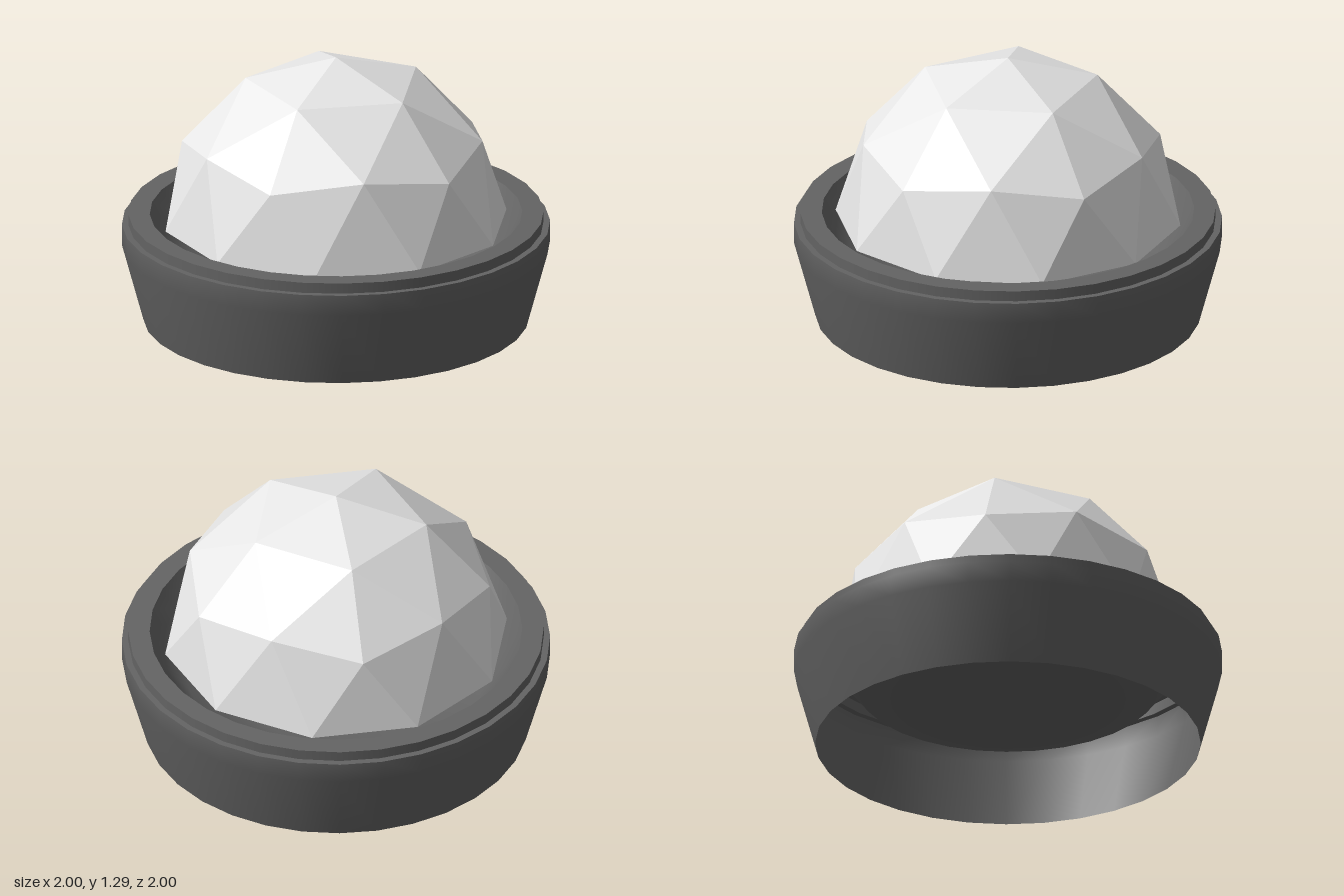
import * as THREE from 'three';

const shellGrey = new THREE.MeshStandardMaterial({ color: 0x646464, side: THREE.DoubleSide });
shellGrey.name = 'dark grey';
const domeWhite = new THREE.MeshStandardMaterial({ color: 0xe8e8e8, side: THREE.DoubleSide, flatShading: true });
domeWhite.name = 'pale grey';

// Surface of revolution through [radius, height] points; separate calls keep edges sharp
function band(name, ...points) {
  const profile = points.map(([r, y]) => new THREE.Vector2(r, y));
  const mesh = new THREE.Mesh(new THREE.LatheGeometry(profile, 32), shellGrey);
  mesh.name = name;
  return mesh;
}

// Upper half of a once-divided icosahedron, built from five equal sectors
function createDome(radius, baseY) {
  const at = (degrees, elevation) => {
    const a = THREE.MathUtils.degToRad(degrees);
    const e = THREE.MathUtils.degToRad(elevation);
    return [
      radius * Math.cos(e) * Math.cos(a),
      baseY + radius * Math.sin(e),
      radius * Math.cos(e) * Math.sin(a),
    ];
  };
  const top = at(0, 90);
  const upper = (k) => at(72 * k, 58.28);
  const corner = (k) => at(72 * k, 26.57);
  const between = (k) => at(72 * k + 36, 31.72);
  const base = (j) => at(36 * j + 18, 0);

  const positions = [];
  const face = (...corners) => corners.forEach((p) => positions.push(...p));
  for (let k = 0; k < 5; k++) {
    face(top, upper(k + 1), upper(k));
    face(upper(k), upper(k + 1), between(k));
    face(upper(k), between(k), corner(k));
    face(between(k), upper(k + 1), corner(k + 1));
    face(corner(k), between(k), base(2 * k));
    face(between(k), corner(k + 1), base(2 * k + 1));
    face(between(k), base(2 * k + 1), base(2 * k));
    face(corner(k), base(2 * k), base(2 * k - 1));
  }
  const geometry = new THREE.BufferGeometry();
  geometry.setAttribute('position', new THREE.Float32BufferAttribute(positions, 3));
  geometry.computeVertexNormals();
  const mesh = new THREE.Mesh(geometry, domeWhite);
  mesh.name = 'facetedDome';
  return mesh;
}

export function createModel() {
  const model = new THREE.Group();
  model.name = 'domeLamp';

  // Open-bottomed housing with a stepped rim and a rounded bowl hanging inside it
  const housing = new THREE.Group();
  housing.name = 'housing';
  housing.add(
    band('outerWall', [0.9, 0], [1, 0.37], [1, 0.47]),
    band('lowerStep', [1, 0.47], [0.97, 0.47]),
    band('stepWall', [0.97, 0.47], [0.97, 0.52]),
    band('rimTop', [0.97, 0.52], [0.87, 0.52]),
    band('bowl', [0.87, 0.52], [0.81, 0.42], [0.7, 0.28], [0.45, 0.19], [0, 0.15]),
  );
  model.add(housing, createDome(0.81, 0.48));
  return model;
}
